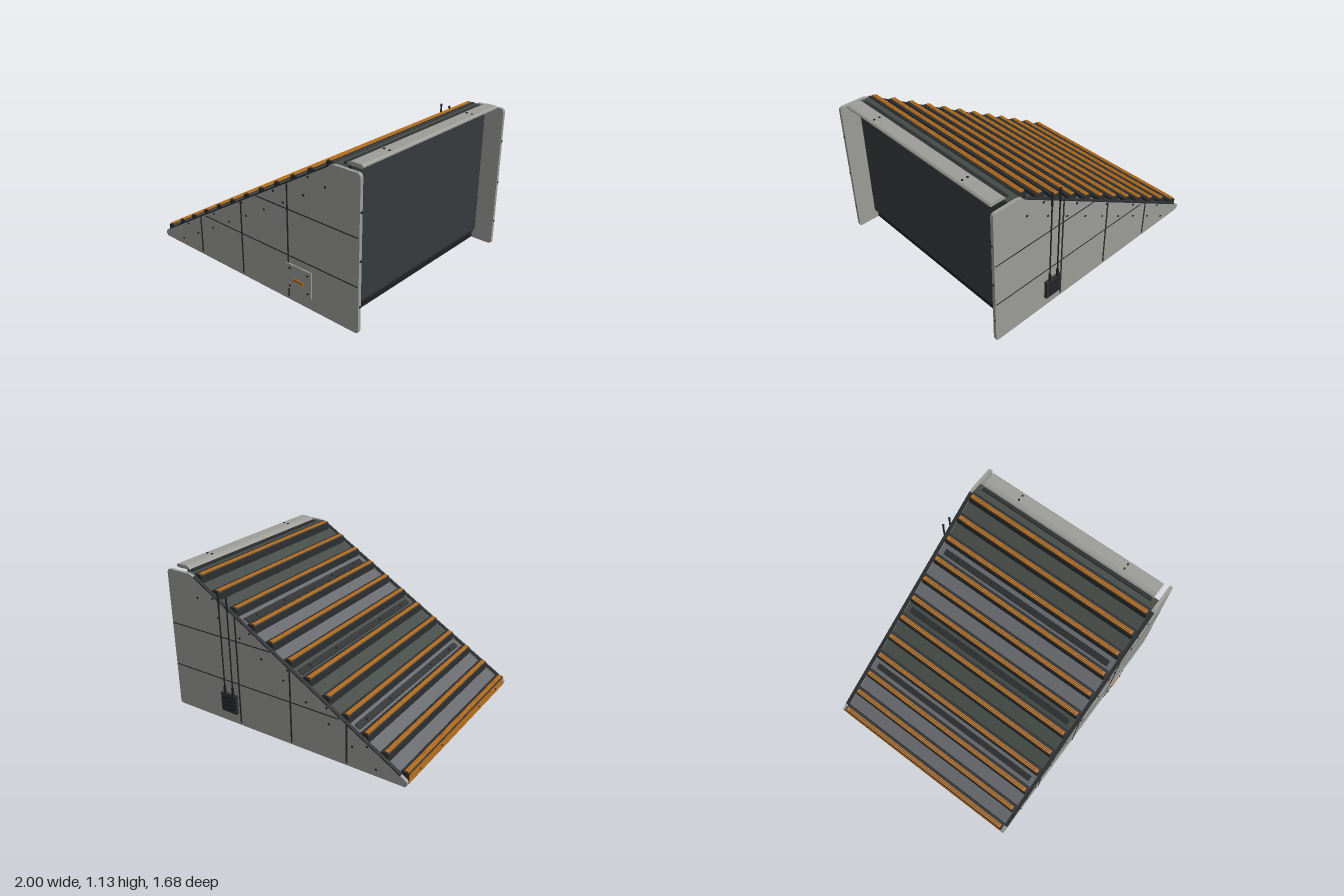
import * as THREE from 'three';

const mat = (color) => new THREE.MeshStandardMaterial({ color, flatShading: true });
const MID = 0.005; // z of the ramp's centre line
const slope = (x) => 0.045 + 0.596 * (x + 1);

export function createModel() {
  const root = new THREE.Group();
  const grey = mat(0x9c9c98), wall = mat(0x363a3e), black = mat(0x1e1f21), dark = mat(0x2c2e30);
  const orange = mat(0xb8701f), deckGrey = mat(0x66686c), deckGreen = mat(0x444a46);

  const add = (name, geo, m, parent = root) => {
    const mesh = new THREE.Mesh(geo, m);
    mesh.name = name;
    parent.add(mesh);
    return mesh;
  };
  // Box given by its limits
  const box = (name, m, x0, x1, y0, y1, z0, z1, parent) =>
    add(name, new THREE.BoxGeometry(x1 - x0, y1 - y0, z1 - z0), m, parent)
      .position.set((x0 + x1) / 2, (y0 + y1) / 2, (z0 + z1) / 2);
  // Side profile (x, y) pulled from z0 to z1
  const prism = (name, m, pts, z0, z1, parent) => {
    const shape = new THREE.Shape(pts.map(([x, y]) => new THREE.Vector2(x, y)));
    const geo = new THREE.ExtrudeGeometry(shape, { depth: z1 - z0, bevelEnabled: false });
    return add(name, geo.translate(0, 0, z0), m, parent);
  };
  const bolt = (x, y, z, axis, parent = root) => {
    const b = add('bolt', new THREE.CylinderGeometry(0.008, 0.008, 0.01, 8), black, parent);
    b.position.set(x, y, z);
    if (axis === 'z') b.rotation.x = Math.PI / 2;
    if (axis === 'x') b.rotation.z = Math.PI / 2;
  };

  // Wedge body and base plate
  const w = 0.79;
  prism('body', wall, [[-0.98, 0.03], [0.81, 0.03], [0.84, 0.08], [0.84, 1.09], [0.77, 1.09],
    [0.72, slope(0.72) - 0.035], [-0.98, slope(-0.98) - 0.02]], MID - w, MID + w);
  box('basePlate', black, -0.98, 0.815, 0.002, 0.04, MID - w, MID + w);

  // Cladding in four bands along the slope, with a joint strip at the end of each
  const joints = [-0.99, -0.53, -0.07, 0.385, 0.76];
  for (let i = 0; i < 4; i++) {
    const a = joints[i], b = joints[i + 1];
    prism('deckPanel', i % 2 ? deckGreen : deckGrey, [[a, slope(a) - 0.045], [b, slope(b) - 0.045],
      [b, slope(b) - 0.02], [a, slope(a) - 0.02]], MID - w, MID + w);
    if (i === 3) continue;
    const s = b - 0.07, e = b - 0.03;
    prism('jointStrip', dark, [[s, slope(s) - 0.025], [e, slope(e) - 0.025],
      [e, slope(e) - 0.014], [s, slope(s) - 0.014]], MID - 0.75, MID + 0.75);
    for (const z of [-0.63, -0.31, 0.31, 0.63]) bolt(b - 0.05, slope(b - 0.05) - 0.014, MID + z);
  }
  box('topDeck', deckGreen, 0.74, 0.84, 1.075, 1.093, MID - w, MID + w);

  // Treads with orange grip frames
  for (let i = 0; i < 12; i++) {
    const tread = new THREE.Group();
    tread.name = 'tread';
    tread.position.set(-0.997 + i * 0.1535, slope(-0.997 + i * 0.1535), 0);
    root.add(tread);
    prism('treadBar', dark, [[0, -0.03], [0, 0.036], [0.008, 0.044], [0.054, 0.049], [0.06, 0.044],
      [0.06, 0.005]], MID - 0.785, MID + 0.785, tread);
    for (const x of [0.006, 0.017, 0.028])
      box('gripStrip', orange, x, x + 0.008, 0.04, 0.05, MID - 0.77, MID + 0.77, tread);
    for (const z of [-0.765, 0.765])
      box('gripEnd', orange, 0.006, 0.036, 0.04, 0.051, MID + z - 0.008, MID + z + 0.008, tread);
  }
  // Orange nose along the foot of the ramp
  box('nose', orange, -0.999, -0.97, 0.012, 0.078, MID - 0.78, MID + 0.78);
  for (const z of [-0.63, -0.31, 0.31, 0.63]) bolt(-0.996, 0.045, MID + z, 'x');

  // Side panels with trim, seams and bolts
  const panel = [[-0.985, 0], [0.97, 0], [0.985, 0.007], [0.99, 0.02], [0.99, 1.075], [0.985, 1.09],
    [0.97, 1.1], [0.79, 1.1], [0.765, 1.095], [0.74, slope(0.74)], [-0.985, slope(-0.985)], [-1, 0.04], [-1, 0.015]];
  for (const side of [-1, 1]) {
    const g = new THREE.Group();
    g.name = side > 0 ? 'frontPanel' : 'backPanel';
    root.add(g);
    const c = MID + side * 0.8025, out = MID + side * 0.815;
    prism('panel', grey, panel, c - 0.0125, c + 0.0125, g);
    prism('edgeTrim', dark, [[-0.95, slope(-0.95) - 0.004], [0.74, slope(0.74) - 0.004],
      [0.74, slope(0.74) + 0.006], [-0.95, slope(-0.95) + 0.006]], c - 0.014, c + 0.014, g);
    for (const x of [-0.54, -0.08, 0.38])
      box('verticalSeam', dark, x - 0.006, x + 0.006, 0.02, slope(x) - 0.005, out - 0.003, out + 0.003, g);
    for (const [x, y] of [[-0.48, 0.34], [0.08, 0.68]])
      box('horizontalSeam', dark, x, 0.98, y - 0.004, y + 0.004, out - 0.002, out + 0.002, g);
    for (let i = 0; i < 5; i++) bolt(-0.7 + i * 0.3175, 0.205 + i * 0.189, out, 'z', g);
    for (let i = 0; i < 9; i++) bolt(-0.77 + i * 0.1856, 0.055 + i * 0.11, out, 'z', g);
    for (const y of [0.195, 0.52, 0.85]) bolt(0.99, y, c, 'x', g);
  }

  // Ridge cap on a dark support
  box('capSupport', dark, 0.8, 0.86, 1.07, 1.105, MID - 0.745, MID + 0.745);
  prism('ridgeCap', grey, [[0.825, 1.1], [0.945, 1.1], [0.957, 1.107], [0.957, 1.117], [0.945, 1.127],
    [0.865, 1.127], [0.84, 1.116]], MID - 0.752, MID + 0.752);
  for (const x of [0.882, 0.925]) for (const z of [-0.465, 0.465]) bolt(x, 1.127, MID + z);

  // Access hatch on the front panel
  box('hatch', grey, 0.37, 0.595, 0.09, 0.285, 0.815, 0.83);
  box('hatchHandle', orange, 0.435, 0.53, 0.167, 0.187, 0.825, 0.836);
  for (const x of [0.4, 0.565]) for (const y of [0.12, 0.255]) bolt(x, y, 0.83, 'z');

  // Radio box with two aerials on the back panel
  box('radioBox', dark, 0.4, 0.54, 0.09, 0.24, -0.834, -0.805);
  for (let i = 0; i < 4; i++)
    box('vent', black, 0.42, 0.52, 0.115 + i * 0.03, 0.127 + i * 0.03, -0.84, -0.83);
  for (const x of [0.432, 0.506]) {
    const rod = (name, r, y0, y1) =>
      add(name, new THREE.CylinderGeometry(r, r, y1 - y0, 10), black).position.set(x, (y0 + y1) / 2, -0.825);
    rod('aerial', 0.005, 0.23, 1);
    rod('aerialBase', 0.01, 0.24, 0.3);
    rod('aerialSleeve', 0.007, 0.9, 1);
    add('aerialTip', new THREE.SphereGeometry(0.01, 10, 8), black).position.set(x, 1.002, -0.825);
  }
  return root;
}
